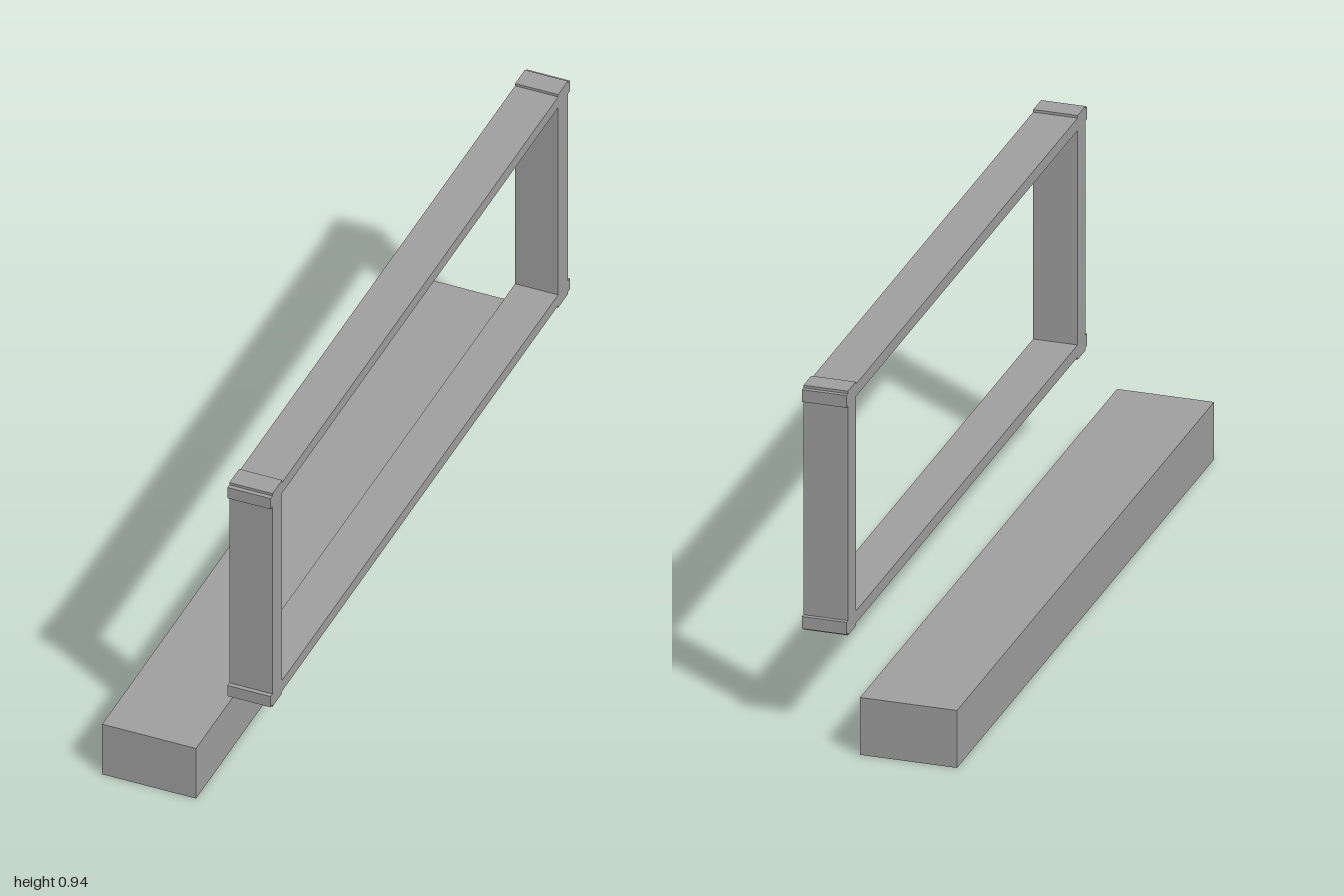
import * as THREE from 'three';

export function createModel() {
  const model = new THREE.Group();
  const grey = new THREE.MeshStandardMaterial({ color: 0xa0a0a0 });
  grey.name = 'grey';

  // Long solid plinth
  const plinth = new THREE.Mesh(new THREE.BoxGeometry(0.253, 0.155, 2), grey);
  plinth.name = 'plinth';
  plinth.position.set(-0.0865, 0.0775, 0);
  model.add(plinth);

  // Frame outline: rails run past the posts and posts run past the rails,
  // leaving a small notch at each corner
  const midY = 0.613;
  const postOut = 0.924, postIn = 0.863, railEnd = 0.936;
  const railOut = 0.323, railIn = 0.29, postEnd = 0.33;

  const corner = [
    [railEnd, railIn], [railEnd, railOut], [postOut, railOut], [postOut, postEnd],
    [postIn, postEnd], [postIn, railOut],
  ];
  // Small notch under each rail end, where the post face is set back
  corner.unshift([postOut, railIn]);
  const mirrored = (sx, sy) => {
    const pts = corner.map(([u, v]) => new THREE.Vector2(u * sx, v * sy));
    return sx * sy < 0 ? pts.reverse() : pts;
  };
  const outline = new THREE.Shape([
    ...mirrored(1, 1), ...mirrored(-1, 1), ...mirrored(-1, -1), ...mirrored(1, -1),
  ]);

  // Rectangular opening
  outline.holes.push(new THREE.Path([
    new THREE.Vector2(-postIn, -railIn), new THREE.Vector2(-postIn, railIn),
    new THREE.Vector2(postIn, railIn), new THREE.Vector2(postIn, -railIn),
  ]));

  const depth = 0.116;
  const frameGeometry = new THREE.ExtrudeGeometry(outline, { depth, bevelEnabled: false });
  frameGeometry.translate(0, 0, -depth / 2);
  frameGeometry.rotateY(Math.PI / 2);
  const frame = new THREE.Mesh(frameGeometry, grey);
  frame.name = 'frame';
  frame.position.set(0.155, midY, 0);
  model.add(frame);

  return model;
}
